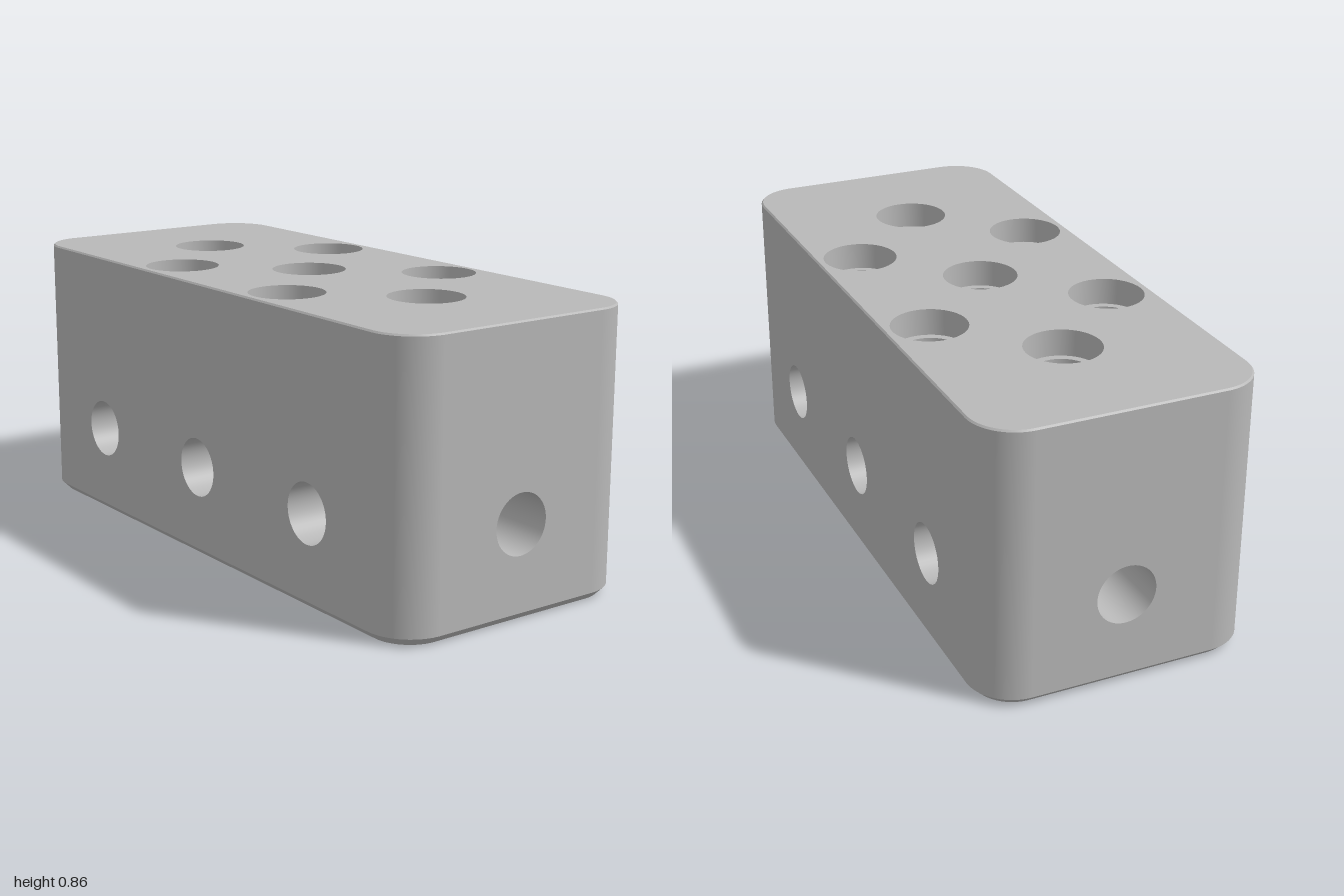
import * as THREE from 'three';
import { toCreasedNormals } from 'three/addons/utils/BufferGeometryUtils.js';

// Block size
const H = 0.8625, HX = 1, HZ = 0.425, CORNER = 0.14, CH_BOTTOM = 0.025, CH_TOP = 0.005;
// Underside pocket
const PX = 0.765, PZ = 0.27, PR = 0.08, P_TOP = 0.575, RIM = 0.02;
// Lobes, bores and recesses
const C = 0.2875, LOBE_R = 0.09, LOBE_TOP = 0.39, BORE = 0.092, RECESS = 0.115, LEDGE = 0.78, BLIND = 0.65;
const DIV = 24;

const circle = (x, y, r) => new THREE.Path().absarc(x, y, r, 0, Math.PI * 2, false);

// Rounded rectangle, half sizes a and b
function roundedRect(a, b, r) {
  const s = new THREE.Shape();
  [[1, 1], [-1, 1], [-1, -1], [1, -1]].forEach(([sx, sy], i) =>
    s.absarc(sx * (a - r), sy * (b - r), r, i * Math.PI / 2, (i + 1) * Math.PI / 2, false));
  return s.closePath();
}

// Pocket outline with four round lobes, grown by o
function pocketOutline(o) {
  const s = new THREE.Shape(), a = PX + o, b = PZ + o, r = PR + o, lr = LOBE_R + o;
  const t = Math.asin((b - C) / lr);
  for (const side of [0, 1]) {
    const k = side ? -1 : 1, turn = side * Math.PI;
    s.absarc(k * (a - r), k * (b - r), r, turn, turn + Math.PI / 2, false);
    s.absarc(k * C, k * C, lr, turn + t, turn + Math.PI - t, false);
    s.absarc(-k * C, k * C, lr, turn + t, turn + Math.PI - t, false);
    s.absarc(-k * (a - r), k * (b - r), r, turn + Math.PI / 2, turn + Math.PI, false);
  }
  return s.closePath();
}

// Skin between two matching outlines at heights y0 and y1
function loft(s0, y0, s1, y1) {
  const p0 = s0.getPoints(DIV), p1 = s1.getPoints(DIV), pos = [], n = p0.length;
  for (let i = 0; i < n; i++) {
    const j = (i + 1) % n;
    const a = [p0[i].x, y0, p0[i].y], b = [p0[j].x, y0, p0[j].y];
    const c = [p1[i].x, y1, p1[i].y], d = [p1[j].x, y1, p1[j].y];
    pos.push(...a, ...c, ...b, ...b, ...c, ...d);
  }
  const g = new THREE.BufferGeometry();
  g.setAttribute('position', new THREE.Float32BufferAttribute(pos, 3));
  return toCreasedNormals(g, 0.5);
}

// Horizontal plate at height y, facing up or down
function plate(shape, y, up) {
  const g = new THREE.ShapeGeometry(shape, DIV);
  return g.rotateX(up ? -Math.PI / 2 : Math.PI / 2).translate(0, y, 0);
}

// Open upright tube wall between two heights
function tube(r, y0, y1, start = 0, length = Math.PI * 2, segs = 48) {
  return new THREE.CylinderGeometry(r, r, y1 - y0, segs, 1, true, start, length).translate(0, (y0 + y1) / 2, 0);
}

function rectShape(a, y0, y1) {
  return new THREE.Shape().moveTo(-a, y0).lineTo(a, y0).lineTo(a, y1).lineTo(-a, y1).closePath();
}

export function createModel() {
  const model = new THREE.Group();
  const grey = new THREE.MeshStandardMaterial({ color: 0xb8b8b8, side: THREE.DoubleSide });
  grey.name = 'grey';
  const add = (name, geo, x = 0, y = 0, z = 0, ry = 0) => {
    const m = new THREE.Mesh(geo, grey);
    m.name = name;
    m.position.set(x, y, z);
    m.rotation.y = ry;
    model.add(m);
  };
  const columns = [-2 * C, 0, 2 * C], signs = [-1, 1];
  const lobes = signs.flatMap(sx => signs.map(sz => [sx * C, sz * C]));

  // Top face with seven round openings
  const outer = roundedRect(HX, HZ, CORNER);
  const topOutline = () => roundedRect(HX - CH_TOP, HZ - CH_TOP, CORNER - CH_TOP);
  const top = topOutline();
  const openings = [...columns.map(x => [x, 0, true]), ...lobes.map(([x, z]) => [x, z, false])];
  openings.forEach(([x, z]) => top.holes.push(circle(x, z, RECESS)));
  add('topFace', plate(top, H, true));
  add('topChamfer', loft(outer, H - CH_TOP, topOutline(), H));

  // Stepped recesses: middle ones run through, outer ones are blind
  for (const [x, z, through] of openings) {
    add('recessWall', tube(RECESS, LEDGE, H), x, 0, z);
    add('recessLedge', new THREE.RingGeometry(BORE, RECESS, 48).rotateX(-Math.PI / 2), x, LEDGE, z);
    add('recessBore', tube(BORE, through ? P_TOP : BLIND, LEDGE), x, 0, z);
    if (!through) add('recessFloor', new THREE.CircleGeometry(BORE, 48).rotateX(-Math.PI / 2), x, BLIND, z);
  }

  // Bottom face around the pocket, with both chamfers
  const bottomOutline = () => roundedRect(HX - CH_BOTTOM, HZ - CH_BOTTOM, CORNER - CH_BOTTOM);
  const bottom = bottomOutline();
  bottom.holes.push(pocketOutline(RIM));
  add('bottomFace', plate(bottom, 0, false));
  add('bottomChamfer', loft(bottomOutline(), 0, outer, CH_BOTTOM));
  add('pocketRim', loft(pocketOutline(RIM), 0, pocketOutline(0), RIM));

  // Long inner wall, notched where the lobes open into the pocket
  const half = Math.sqrt(LOBE_R ** 2 - (PZ - C) ** 2);
  const innerLong = new THREE.Shape().moveTo(-(PX - PR), RIM);
  for (const x of [-C, C]) {
    innerLong.lineTo(x - half, RIM).lineTo(x - half, LOBE_TOP).lineTo(x + half, LOBE_TOP).lineTo(x + half, RIM);
  }
  innerLong.lineTo(PX - PR, RIM).lineTo(PX - PR, P_TOP).lineTo(-(PX - PR), P_TOP).closePath();
  const outerLong = rectShape(HX - CORNER, CH_BOTTOM, H - CH_TOP);
  const innerEnd = rectShape(PZ - PR, RIM, P_TOP);
  const outerEnd = rectShape(HZ - CORNER, CH_BOTTOM, H - CH_TOP);
  columns.forEach(x => [innerLong, outerLong].forEach(s => s.holes.push(circle(x, C, BORE))));
  [innerEnd, outerEnd].forEach(s => s.holes.push(circle(0, C, BORE)));

  for (const s of signs) {
    // Long sides with three cross bores
    const turn = s > 0 ? 0 : Math.PI;
    add('longSide', new THREE.ShapeGeometry(outerLong, DIV), 0, 0, s * HZ, turn);
    add('pocketLongWall', new THREE.ShapeGeometry(innerLong, DIV), 0, 0, s * PZ, turn + Math.PI);
    for (const x of columns) add('sideBore', tube(BORE, PZ, HZ).rotateX(s * Math.PI / 2), x, C, 0);
    // Ends with one bore
    add('endSide', new THREE.ShapeGeometry(outerEnd, DIV), s * HX, 0, 0, s * Math.PI / 2);
    add('pocketEndWall', new THREE.ShapeGeometry(innerEnd, DIV), s * PX, 0, 0, -s * Math.PI / 2);
    add('endBore', tube(BORE, PX, HX).rotateZ(-s * Math.PI / 2), 0, C, 0);
  }

  // Rounded corners outside and in the pocket
  [[1, 1], [1, -1], [-1, -1], [-1, 1]].forEach(([sx, sz], i) => {
    const start = i * Math.PI / 2;
    add('outerCorner', tube(CORNER, CH_BOTTOM, H - CH_TOP, start, Math.PI / 2, 24),
      sx * (HX - CORNER), 0, sz * (HZ - CORNER));
    add('pocketCorner', tube(PR, RIM, P_TOP, start, Math.PI / 2, 24), sx * (PX - PR), 0, sz * (PZ - PR));
  });

  // Pocket ceiling
  const ceiling = roundedRect(PX, PZ, PR);
  columns.forEach(x => ceiling.holes.push(circle(x, 0, BORE)));
  add('pocketCeiling', plate(ceiling, P_TOP, false));

  // Round lobes cut into the long walls
  const a = Math.acos((PZ - C) / LOBE_R);
  const cap = new THREE.Shape().absarc(0, 0, LOBE_R, Math.PI / 2 - a, Math.PI / 2 + a, false);
  for (const [x, z] of lobes) {
    const turn = z > 0 ? 0 : Math.PI;
    add('lobeWall', tube(LOBE_R, RIM, LOBE_TOP, -a, 2 * a), x, 0, z, turn);
    add('lobeCeiling', plate(cap, LOBE_TOP, false), x, 0, z, turn);
  }
  return model;
}
